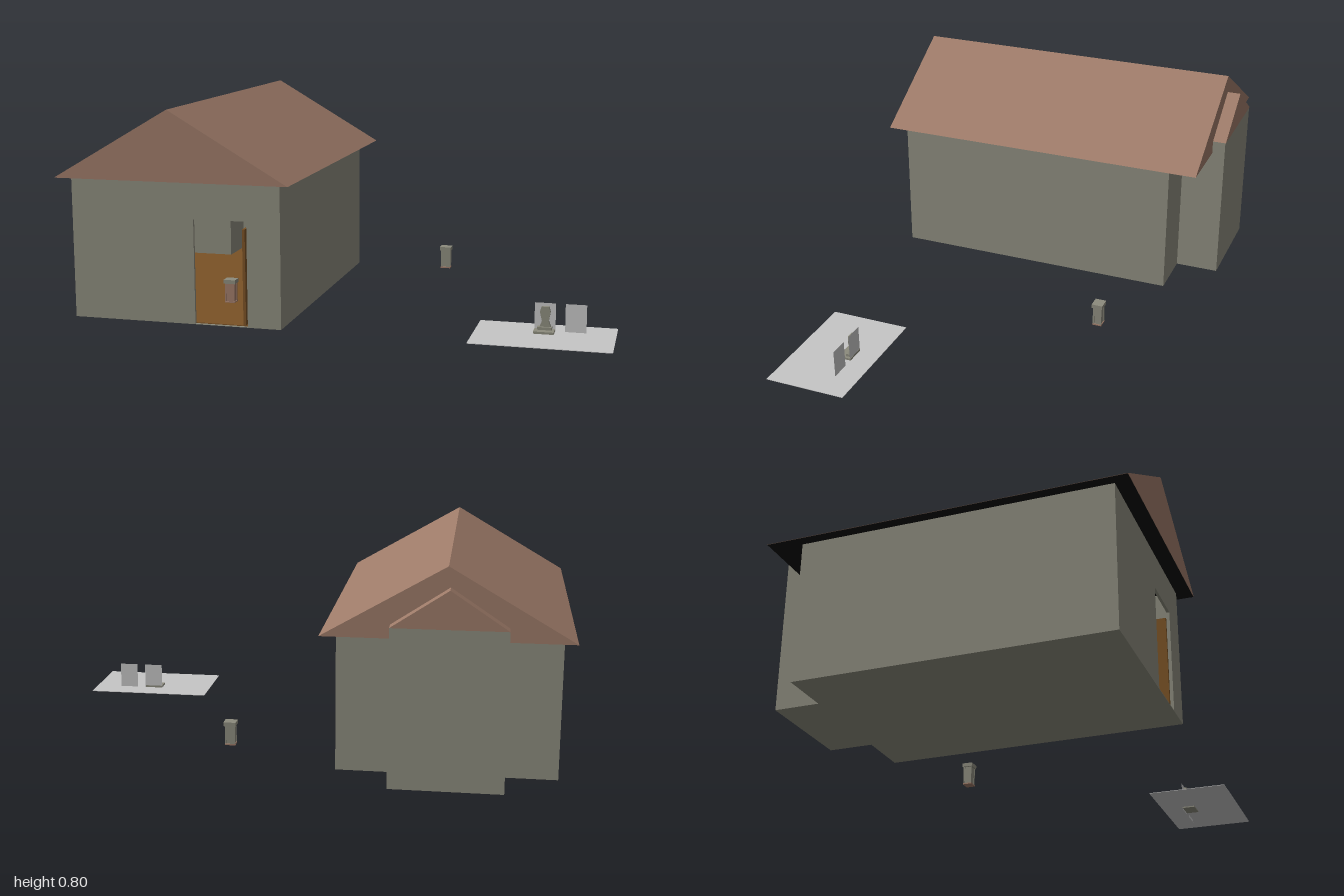
import * as THREE from 'three';

const material = (name, color) => {
  const m = new THREE.MeshStandardMaterial({ color });
  m.name = name;
  return m;
};

export function createModel() {
  const model = new THREE.Group();
  const stone = material('grey green stone', 0x8d8c7e);
  const tile = material('brown roof', 0x9e7b69);
  const wood = material('dark wood', 0x7a5226);
  const black = material('black soffit', 0x050505);
  const pale = material('pale grey', 0xc6c6c6);
  pale.side = THREE.DoubleSide;

  const add = (name, geo, mat, parent = model) => {
    const mesh = new THREE.Mesh(geo, mat);
    mesh.name = name;
    parent.add(mesh);
    return mesh;
  };
  // Box given by its lower and upper limits on each axis
  const box = (name, mat, [x0, x1], [y0, y1], [z0, z1], parent) => {
    const geo = new THREE.BoxGeometry(x1 - x0, y1 - y0, z1 - z0);
    geo.translate((x0 + x1) / 2, (y0 + y1) / 2, (z0 + z1) / 2);
    return add(name, geo, mat, parent);
  };
  const outline = (pts) => new THREE.Shape(pts.map((p) => new THREE.Vector2(...p)));
  const extrudeZ = (name, mat, pts, z0, z1, parent) => {
    const geo = new THREE.ExtrudeGeometry(outline(pts), { depth: z1 - z0, bevelEnabled: false });
    geo.translate(0, 0, z0);
    return add(name, geo, mat, parent);
  };

  // House walls, with a doorway cut into the front
  const house = new THREE.Group();
  house.name = 'house';
  model.add(house);
  const L = -0.96, R = -0.165, B = 0.015, T = 0.54, F = 0.622, K = -0.51, t = 0.01;
  extrudeZ('frontWall', stone, [
    [L, B], [-0.49, B], [-0.49, 0.4], [-0.29, 0.4], [-0.29, B], [R, B], [R, T], [L, T],
  ], F - t, F, house);
  box('rightWall', stone, [L, L + t], [B, T], [K, F - t], house);
  box('leftWall', stone, [R - t, R], [B, T], [K, F - t], house);

  // Back annex, with the main back wall on either side of it
  const aL = -0.77, aR = -0.365, aK = -0.678, aT = 0.59;
  box('backWallRight', stone, [L, aL], [B, T], [K, K + t], house);
  box('backWallLeft', stone, [aR, R], [B, T], [K, K + t], house);
  box('annexBackWall', stone, [aL, aR], [B, aT], [aK, aK + t], house);
  box('annexRightWall', stone, [aL, aL + t], [B, aT], [aK + t, K + t], house);
  box('annexLeftWall', stone, [aR - t, aR], [B, aT], [aK + t, K + t], house);

  // Foundation and wooden floor
  box('foundation', stone, [L, R], [B - 0.002, B], [K, F], house);
  box('annexFoundation', stone, [aL, aR], [B - 0.002, B], [aK, K], house);
  box('floor', wood, [L + t, R - t], [B, B + 0.003], [K + t, F - t], house);
  box('annexFloor', wood, [aL + t, aR - t], [B, B + 0.003], [aK + t, K + t], house);

  // Roofs, and the dark underside of the main eaves
  extrudeZ('mainRoof', tile, [[-1, T], [-0.118, T], [-0.559, 0.797]], -0.628, 0.678, house);
  extrudeZ('annexRoof', tile, [[aL, aT], [aR, aT], [-0.5675, 0.725]], -0.68, -0.4, house);
  const soffit = new THREE.PlaneGeometry(0.88, 1.304).rotateX(Math.PI / 2);
  soffit.translate(-0.559, T - 0.001, 0.025);
  add('soffit', soffit, black, house);

  // Open front door and inner partition
  box('frontDoor', wood, [-0.31, -0.3], [B, 0.37], [0.42, F - t], house);
  box('partition', wood, [-0.41, -0.37], [B, 0.42], [-0.5, -0.25], house);

  // Capped pillars: one outdoors, one inside the doorway
  const pillar = (name, x, y, z, bodyMat) => {
    const g = new THREE.Group();
    g.name = name;
    g.position.set(x, y, z);
    model.add(g);
    box('pillarFoot', tile, [-0.02, 0.02], [0, 0.005], [-0.018, 0.018], g);
    box('pillarBody', bodyMat, [-0.017, 0.017], [0.005, 0.075], [-0.015, 0.015], g);
    for (const sx of [-1, 1]) for (const sz of [-1, 1]) {
      const px = sx * 0.016, pz = sz * 0.014;
      box('pillarCorner', bodyMat, [px - 0.003, px + 0.003], [0.005, 0.075], [pz - 0.003, pz + 0.003], g);
    }
    box('pillarCap', stone, [-0.023, 0.023], [0.075, 0.09], [-0.021, 0.021], g);
  };
  pillar('gardenPillar', 0.246, 0.044, -0.374, stone);
  pillar('indoorPillar', -0.469, 0.018, 0.3, tile);

  // Small yard with upright panels and a monument
  box('yard', pale, [0.503, 1], [0.011, 0.013], [0.315, 0.625]);
  for (const x of [0.748, 0.857]) {
    const panel = new THREE.PlaneGeometry(0.075, 0.115);
    panel.translate(x, 0.0575, 0.403);
    add('uprightPanel', panel, pale);
  }
  const monument = new THREE.Group();
  monument.name = 'monument';
  model.add(monument);
  box('monumentBase', stone, [0.711, 0.784], [0.006, 0.021], [0.402, 0.452], monument);
  box('monumentStep', stone, [0.722, 0.774], [0.021, 0.031], [0.404, 0.425], monument);
  extrudeZ('monumentSlab', stone, [
    [0.73, 0.031], [0.77, 0.031], [0.762, 0.052], [0.768, 0.085],
    [0.762, 0.104], [0.736, 0.104], [0.73, 0.085], [0.738, 0.052],
  ], 0.405, 0.417, monument);

  return model;
}
